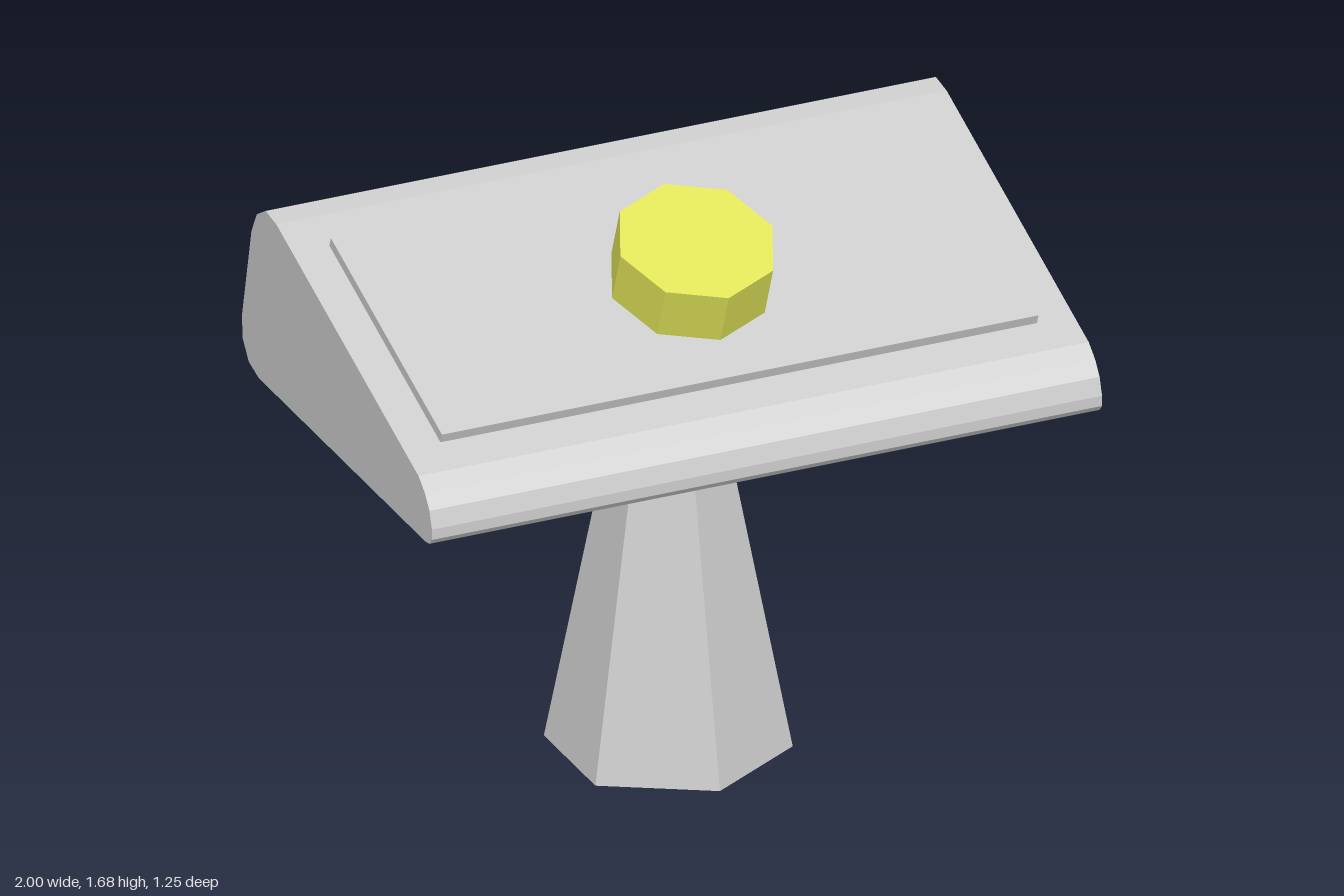
import * as THREE from 'three';

const TILT = THREE.MathUtils.degToRad(20);
const grey = new THREE.MeshStandardMaterial({ color: 0xcccccc, flatShading: true });
const yellow = new THREE.MeshStandardMaterial({ color: 0xe0e458, flatShading: true });

// Side outline of the console as [z, y]
const OUTLINE = [
  [0.582, 1.08], [0.61, 1.085], [0.626, 1.104], [0.626, 1.135], [0.61, 1.185], [0.58, 1.225],
  [0.538, 1.258], [-0.4, 1.6], [-0.471, 1.609], [-0.529, 1.573], [-0.564, 1.507],
  [-0.627, 1.222], [-0.622, 1.155], [-0.582, 1.102], [-0.516, 1.082],
];

function addMesh(parent, name, geometry, material, x = 0, y = 0, z = 0) {
  const mesh = new THREE.Mesh(geometry, material);
  mesh.name = name;
  mesh.position.set(x, y, z);
  parent.add(mesh);
  return mesh;
}

export function createModel() {
  const model = new THREE.Group();
  model.name = 'buttonConsole';

  // Tapered six-sided pedestal
  addMesh(model, 'pedestal', new THREE.CylinderGeometry(0.135, 0.34, 1.06, 6), grey, 0, 0.53, -0.025);

  // Wedge-shaped console, extruded across its width
  const shape = new THREE.Shape(OUTLINE.map(([z, y]) => new THREE.Vector2(-z, y)));
  const body = new THREE.ExtrudeGeometry(shape, { depth: 2, bevelEnabled: false });
  body.translate(0, 0, -1).rotateY(Math.PI / 2);
  addMesh(model, 'consoleBody', body, grey);

  // Tilted panel, with its origin at the centre of the panel's top face
  const panel = new THREE.Group();
  panel.name = 'controlPanel';
  panel.position.set(0, 1.455, 0.083);
  panel.rotation.x = TILT;
  model.add(panel);
  addMesh(panel, 'panelPlate', new THREE.BoxGeometry(1.78, 0.06, 0.78), grey, 0, -0.03, 0);

  // Eight-sided push button, slightly sunk into the plate
  addMesh(panel, 'button', new THREE.CylinderGeometry(0.227, 0.227, 0.18, 8), yellow, 0, 0.071, 0.024);

  return model;
}
